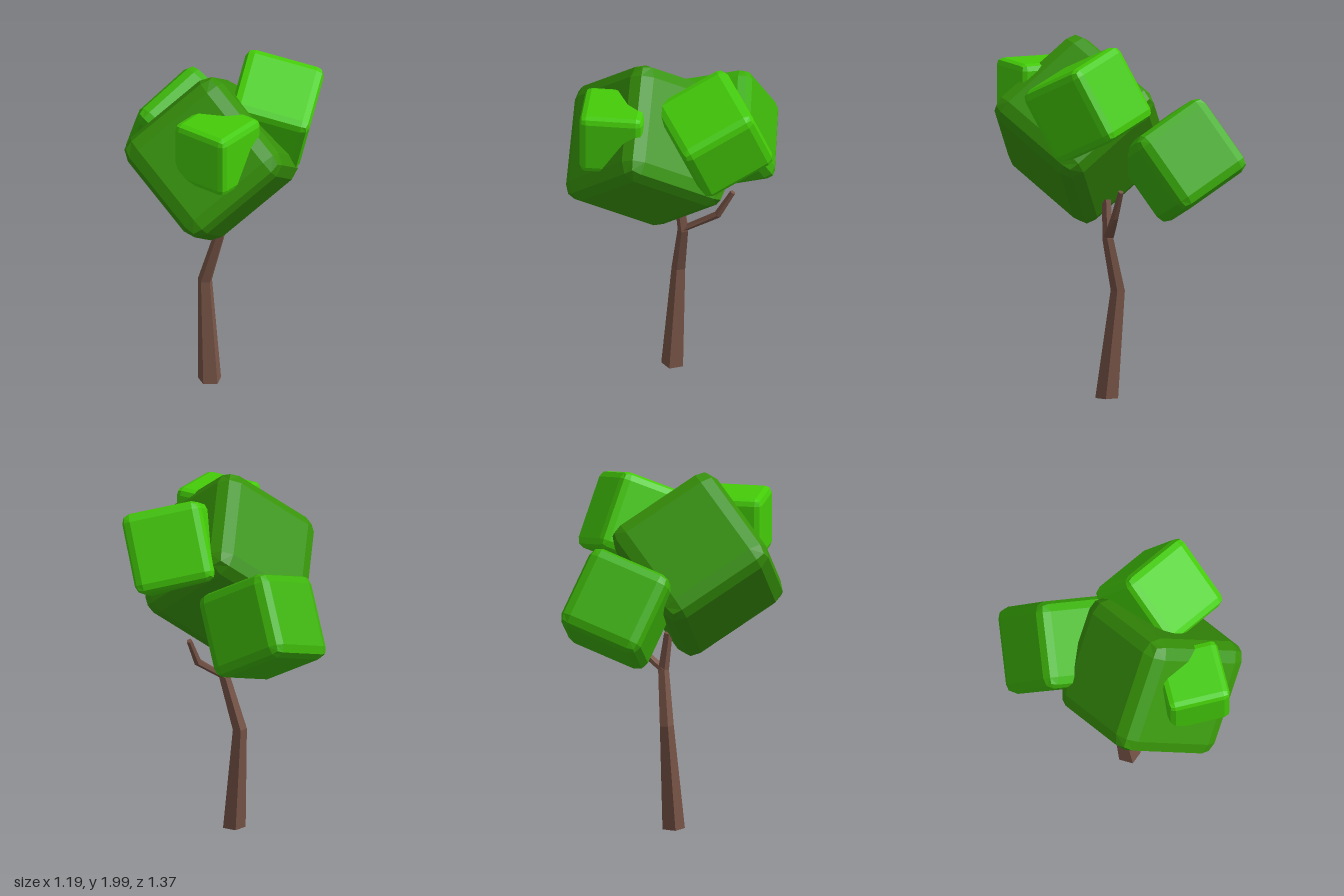
import * as THREE from 'three';
import { RoundedBoxGeometry } from 'three/addons/geometries/RoundedBoxGeometry.js';

const SIDES = 5;
const UP = new THREE.Vector3(0, 1, 0);

// Five-sided limb swept through [x, y, z, radius] stations, open at the foot
function limbGeometry(stations) {
  const centres = stations.map(([x, y, z]) => new THREE.Vector3(x, y, z));
  const last = stations.length - 1;
  const rings = stations.map((station, i) => {
    const dir = centres[Math.min(i + 1, last)].clone().sub(centres[Math.max(i - 1, 0)]).normalize();
    if (i === 0) dir.copy(UP); // level cut at the foot of each limb
    const tilt = new THREE.Quaternion().setFromUnitVectors(UP, dir);
    return Array.from({ length: SIDES }, (_, k) => {
      const t = 1.34 + (k / SIDES) * Math.PI * 2;
      return new THREE.Vector3(Math.cos(t), 0, Math.sin(t))
        .multiplyScalar(station[3]).applyQuaternion(tilt).add(centres[i]);
    });
  });
  const points = [];
  for (let k = 0; k < SIDES; k++) {
    const n = (k + 1) % SIDES;
    for (let i = 0; i < last; i++) {
      const [lo, hi] = [rings[i], rings[i + 1]];
      points.push(lo[k], hi[k], lo[n], hi[k], hi[n], lo[n]);
    }
    points.push(centres[last], rings[last][n], rings[last][k]);
  }
  const geometry = new THREE.BufferGeometry().setFromPoints(points);
  geometry.computeVertexNormals();
  return geometry;
}

function makeMaterial(name, color) {
  const material = new THREE.MeshStandardMaterial({ color, flatShading: true });
  material.name = name;
  return material;
}

export function createModel() {
  const tree = new THREE.Group();
  tree.name = 'tree';

  const bark = makeMaterial('barkBrown', 0x775447);
  bark.side = THREE.DoubleSide;
  const darkLeaf = makeMaterial('darkLeafGreen', 0x379309);
  const midLeaf = makeMaterial('midLeafGreen', 0x3cb209);
  const lightLeaf = makeMaterial('lightLeafGreen', 0x44cc08);

  const addLimb = (name, stations) => {
    const mesh = new THREE.Mesh(limbGeometry(stations), bark);
    mesh.name = name;
    tree.add(mesh);
  };

  // Bevelled foliage cube; two edge directions set its tilt
  const addFoliage = (name, material, size, bevel, centre, edgeA, edgeB) => {
    const mesh = new THREE.Mesh(new RoundedBoxGeometry(size, size, size, 1, bevel), material);
    const x = new THREE.Vector3(...edgeA).normalize();
    const z = x.clone().cross(new THREE.Vector3(...edgeB)).normalize();
    const y = z.clone().cross(x);
    mesh.quaternion.setFromRotationMatrix(new THREE.Matrix4().makeBasis(x, y, z));
    mesh.position.set(...centre);
    mesh.name = name;
    tree.add(mesh);
  };

  // Bent trunk and a forking branch
  addLimb('trunk', [
    [-0.035, 0, 0.07, 0.066],
    [-0.035, 0.595, 0.01, 0.041],
    [0.027, 0.89, 0.064, 0.032],
    [0.0, 1.1, 0.072, 0.025],
  ]);
  addLimb('sideBranch', [
    [0.03, 0.895, 0.06, 0.03],
    [0.225, 1.035, 0.025, 0.022],
    [0.3, 1.185, -0.01, 0.016],
  ]);

  // Crown
  addFoliage('mainFoliage', darkLeaf, 0.678, 0.092, [-0.097, 1.475, 0.213], [-0.49, -0.38, -0.09], [-0.22, 0.32, -0.41]);
  addFoliage('leftFoliage', lightLeaf, 0.445, 0.047, [0.297, 1.665, 0.172], [0.225, 0.155, -0.27], [-0.33, 0.09, -0.21]);
  addFoliage('backFoliage', midLeaf, 0.48, 0.06, [0.03, 1.322, -0.338], [0.04, -0.34, -0.24], [0.19, -0.23, 0.32]);
  addFoliage('frontFoliage', lightLeaf, 0.35, 0.037, [-0.175, 1.675, 0.455], [0.29, 0, -0.14], [0, 1, 0]);

  return tree;
}
